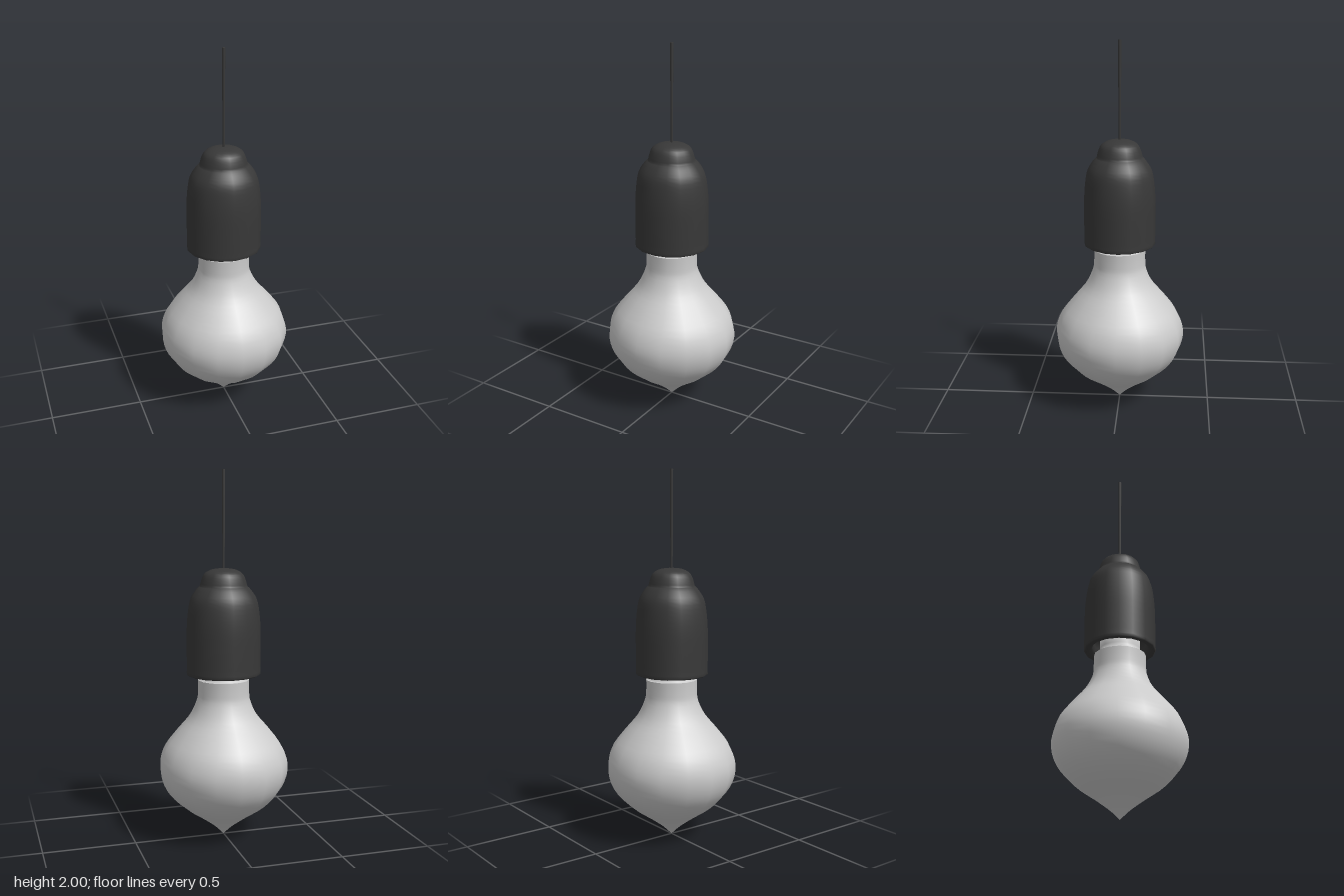
import * as THREE from 'three';

const SIDES = 16;

// Smooth a few [radius, height] points into a lathe profile
function smooth(points, steps) {
  const curve = new THREE.SplineCurve(points.map(([r, y]) => new THREE.Vector2(r, y)));
  return curve.getPoints(steps).map((p) => p.set(Math.max(p.x, 0), p.y));
}

function lathe(name, profile, material) {
  const mesh = new THREE.Mesh(new THREE.LatheGeometry(profile, SIDES), material);
  mesh.name = name;
  return mesh;
}

export function createModel() {
  const group = new THREE.Group();
  group.name = 'pendantLamp';
  const glass = new THREE.MeshStandardMaterial({ color: 0xcccccc, side: THREE.DoubleSide });
  const dark = new THREE.MeshStandardMaterial({ color: 0x383838, side: THREE.DoubleSide });

  // Pointed glass bulb with a short straight collar
  group.add(lathe('bulb', smooth([
    [0, 0], [0.05, 0.048], [0.125, 0.105], [0.245, 0.19], [0.325, 0.285], [0.355, 0.395],
    [0.328, 0.5], [0.258, 0.595], [0.187, 0.68], [0.147, 0.765], [0.14, 0.82], [0.14, 0.882],
  ], 36), glass));

  // Stepped neck that goes up into the socket
  group.add(lathe('bulbNeck', [
    [0.14, 0.882], [0.118, 0.884], [0.115, 0.905], [0.108, 0.92], [0.108, 1.0], [0, 1.0],
  ].map(([r, y]) => new THREE.Vector2(r, y)), glass));

  // Socket: hollow underside, rounded lip, straight wall, shoulder and domed cap
  const cavity = [[0, 1.02], [0.145, 1.02], [0.15, 0.96]].map(([r, y]) => new THREE.Vector2(r, y));
  const lip = smooth([[0.155, 0.935], [0.17, 0.914], [0.19, 0.907], [0.203, 0.915]], 6);
  const wall = smooth([
    [0.202, 0.93], [0.202, 1.05], [0.201, 1.16], [0.194, 1.25], [0.18, 1.32], [0.15, 1.368], [0.128, 1.39],
  ], 18);
  const cap = smooth([
    [0.126, 1.4], [0.115, 1.435], [0.098, 1.46], [0.06, 1.478], [0.01, 1.484], [0, 1.484],
  ], 12);
  const socket = lathe('socket', [...cavity, ...lip, ...wall, ...cap], dark);
  socket.scale.z = 0.955;
  group.add(socket);

  // Thin hanging cord, slightly thicker at the top
  const cord = new THREE.Mesh(new THREE.CylinderGeometry(0.009, 0.006, 0.53, 8), dark);
  cord.name = 'cord';
  cord.position.y = 1.735;
  group.add(cord);

  return group;
}
